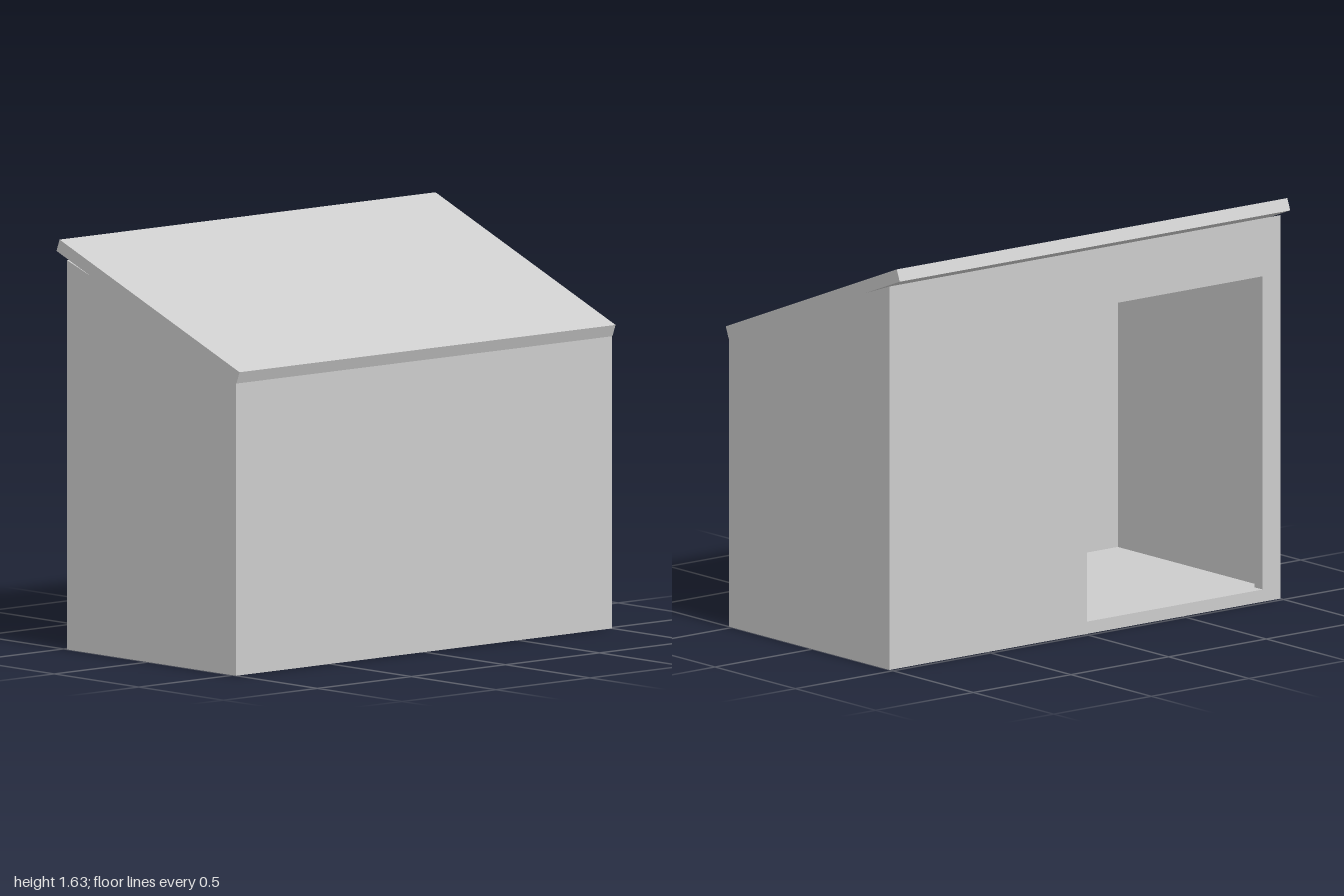
import * as THREE from 'three';

const T = 0.05;                      // panel thickness
const XL = -0.48, XR = 0.52;         // outer faces of the tall and low walls
const HL = 1.555, HR = 1.2;          // wall heights under the roof
const topAt = (x) => HL + (HR - HL) * (x - XL) / (XR - XL);

export function createModel() {
  const group = new THREE.Group();
  const grey = new THREE.MeshStandardMaterial({ color: 0xcccccc });
  grey.name = 'light grey';

  const add = (name, geometry) => {
    const mesh = new THREE.Mesh(geometry, grey);
    mesh.name = name;
    group.add(mesh);
    return mesh;
  };

  // Extrudes an (x, y) outline along z between z0 and z1
  const prism = (name, points, z0, z1) => {
    const shape = new THREE.Shape(points.map(([x, y]) => new THREE.Vector2(x, y)));
    const geo = new THREE.ExtrudeGeometry(shape, { depth: z1 - z0, bevelEnabled: false });
    return add(name, geo.translate(0, 0, z0));
  };

  // End walls with sloping tops
  const end = [[XL, 0], [XR, 0], [XR, HR], [XL, HL]];
  prism('frontEndWall', end, 1 - T, 1);
  prism('backEndWall', end, -1, -1 + T);

  // Low side wall
  prism('lowWall', [[XR - T, 0], [XR, 0], [XR, HR], [XR - T, topAt(XR - T)]], -1 + T, 1 - T);

  // Floor
  prism('floor', [[XL + T, 0], [XR - T, 0], [XR - T, T], [XL + T, T]], -1 + T, 1 - T);

  // Tall side wall with the doorway, drawn in (z, y)
  const rect = (Type, a, b, c, d) => new Type([[a, b], [c, b], [c, d], [a, d]]
    .map(([u, v]) => new THREE.Vector2(u, v)));
  const face = rect(THREE.Shape, -1 + T, 0, 1 - T, HL);
  face.holes.push(rect(THREE.Path, 0.01, T, 0.91, 1.32));
  const doorWall = new THREE.ExtrudeGeometry(face, { depth: T, bevelEnabled: false });
  doorWall.rotateY(-Math.PI / 2).translate(XL + T, 0, 0);
  // Slope its top edge to follow the roof line
  const pos = doorWall.attributes.position;
  for (let i = 0; i < pos.count; i++) {
    if (pos.getY(i) > 1.5) pos.setY(i, topAt(pos.getX(i)));
  }
  doorWall.computeVertexNormals();
  add('doorWall', doorWall);

  // Single-pitch roof slab
  prism('roof', [[-0.542, 1.585], [0.522, 1.167], [0.54, 1.214], [-0.524, 1.632]], -1, 1);

  return group;
}
